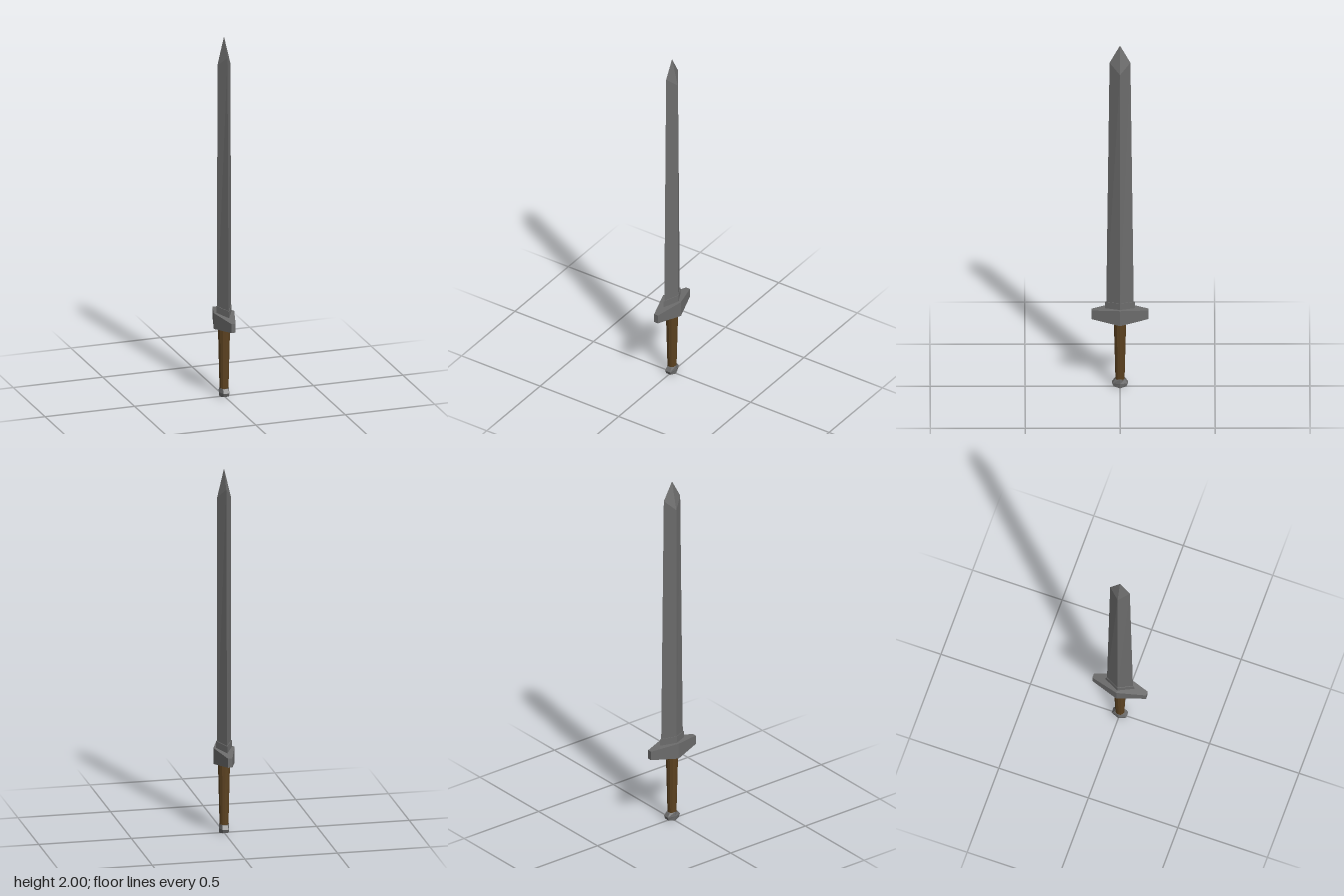
import * as THREE from 'three';

// Flat-shaded solid through stacked rings of [x, y, z], each ring anticlockwise from above
function loft(rings) {
  const pos = [];
  const n = rings[0].length;
  const tri = (a, b, c) => pos.push(...a, ...b, ...c);
  for (let r = 0; r < rings.length - 1; r++) {
    const lo = rings[r], hi = rings[r + 1];
    for (let i = 0; i < n; i++) {
      const j = (i + 1) % n;
      tri(lo[i], lo[j], hi[j]);
      tri(lo[i], hi[j], hi[i]);
    }
  }
  const bottom = rings[0], top = rings[rings.length - 1];
  for (let i = 1; i < n - 1; i++) {
    tri(bottom[0], bottom[i + 1], bottom[i]);
    tri(top[0], top[i], top[i + 1]);
  }
  const geo = new THREE.BufferGeometry();
  geo.setAttribute('position', new THREE.Float32BufferAttribute(pos, 3));
  geo.computeVertexNormals();
  return geo;
}

// Diamond ring: ridges on x, cutting edges on z, each at its own height
const diamond = (x, z, yRidge, yEdge = yRidge) =>
  [[x, yRidge, 0], [0, yEdge, -z], [-x, yRidge, 0], [0, yEdge, z]];

// Stretched hexagon ring: wide at the middle, blunt narrow ends on z
const hexagon = (x, xEnd, z, yMid, yEnd = yMid) => [
  [x, yMid, 0], [xEnd, yEnd, -z], [-xEnd, yEnd, -z],
  [-x, yMid, 0], [-xEnd, yEnd, z], [xEnd, yEnd, z],
];

export function createModel() {
  const group = new THREE.Group();
  const steel = new THREE.MeshStandardMaterial({ color: 0x6c6c6c });
  steel.name = 'steel';
  const leather = new THREE.MeshStandardMaterial({ color: 0x5c4220 });
  leather.name = 'brown leather';

  const add = (name, geometry, material) => {
    const mesh = new THREE.Mesh(geometry, material);
    mesh.name = name;
    group.add(mesh);
    return mesh;
  };

  // Tapering blade with a pointed tip
  add('blade', loft([
    diamond(0.039, 0.073, 0.45),
    diamond(0.037, 0.055, 1.845, 1.9),
    diamond(0.0004, 0.0004, 2.0),
  ]), steel);

  // Collar where the blade meets the guard
  add('collar', loft([
    diamond(0.043, 0.081, 0.43),
    diamond(0.042, 0.079, 0.505, 0.495),
  ]), steel);

  // Crossguard, thickest in the middle
  add('crossguard', loft([
    hexagon(0.057, 0.012, 0.15, 0.38, 0.4),
    hexagon(0.057, 0.012, 0.15, 0.468, 0.45),
  ]), steel);

  // Tapered grip
  const grip = new THREE.CylinderGeometry(0.033, 0.024, 0.36, 12).toNonIndexed();
  grip.computeVertexNormals();
  add('grip', grip, leather).position.y = 0.22;

  // Pommel
  add('pommel', loft([
    hexagon(0.026, 0.014, 0.034, 0, 0.006),
    hexagon(0.028, 0.016, 0.041, 0.025),
    hexagon(0.026, 0.014, 0.026, 0.05, 0.046),
  ]), steel);

  return group;
}
